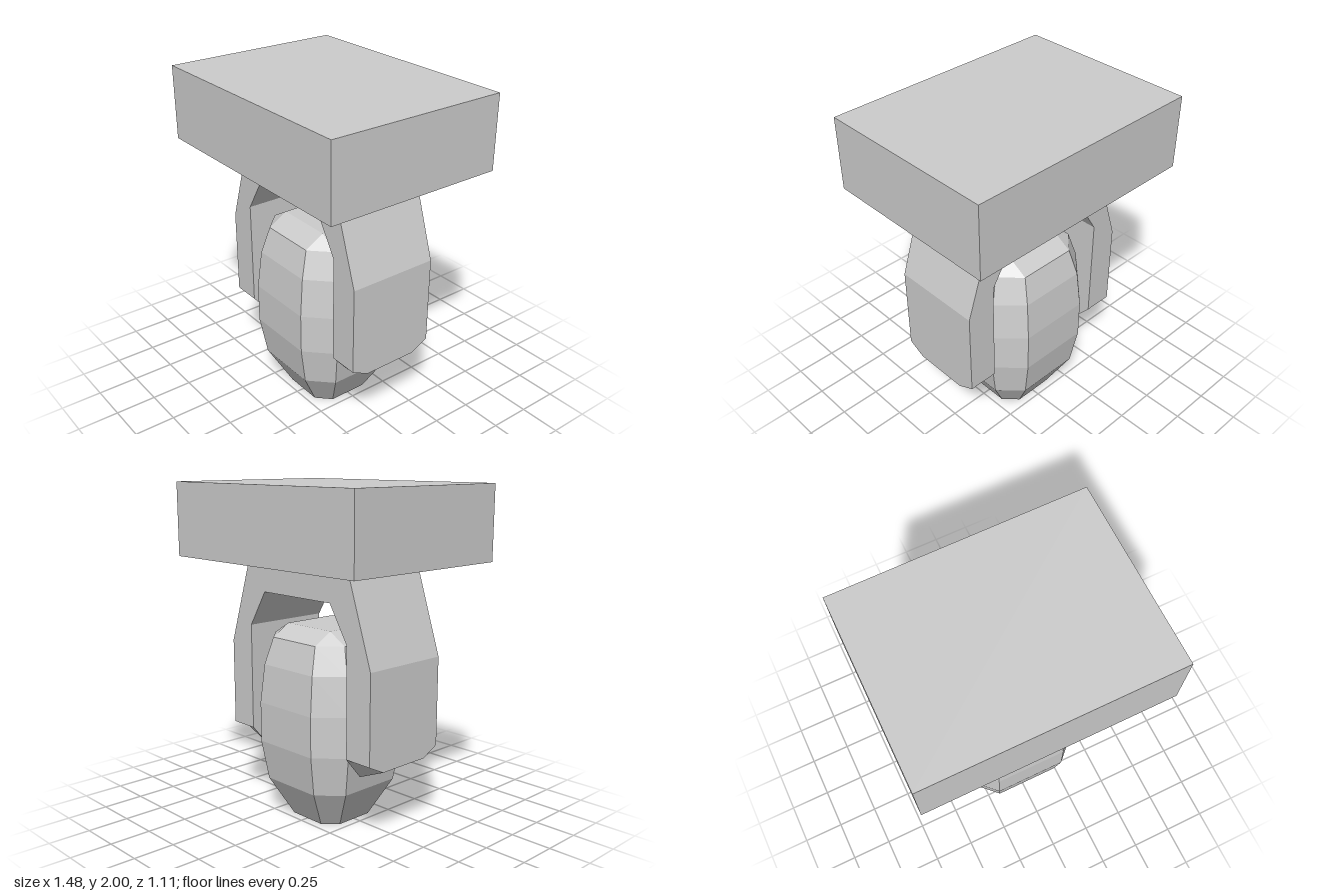
import * as THREE from 'three';

const material = new THREE.MeshStandardMaterial({ color: 0xcccccc, flatShading: true });

function addMesh(parent, name, geometry) {
  const mesh = new THREE.Mesh(geometry, material);
  mesh.name = name;
  parent.add(mesh);
  return mesh;
}

function faceted(points, index) {
  const indexed = new THREE.BufferGeometry();
  indexed.setAttribute('position', new THREE.Float32BufferAttribute(points, 3));
  indexed.setIndex(index);
  const geometry = indexed.toNonIndexed();
  geometry.computeVertexNormals();
  return geometry;
}

// Chamfered-square rings [y, half width, half flat side] lofted into a closed pod
function podGeometry(rings) {
  const points = [], index = [];
  for (const [y, w, f] of rings) {
    const ring = [[w, -f], [w, f], [f, w], [-f, w], [-w, f], [-w, -f], [-f, -w], [f, -w]];
    for (const [x, z] of ring) points.push(x, y, z);
  }
  for (let r = 0; r < rings.length - 1; r++) {
    for (let i = 0; i < 8; i++) {
      const a = r * 8 + i, b = r * 8 + (i + 1) % 8;
      index.push(a, a + 8, b + 8, a, b + 8, b);
    }
  }
  return faceted(points, index);
}

// Tapered tip below a yoke arm, on the +x side
function tipGeometry() {
  const xi = 0.41, xo = 0.59, zt = 0.28, zl = 0.17;
  const points = [
    xi, 0.5, zt, xo, 0.5, zt, xo, 0.5, -zt, xi, 0.5, -zt,
    xi, 0.37, zl, xo, 0.445, zl, xo, 0.445, -zl, xi, 0.37, -zl,
  ];
  const index = [
    0, 4, 5, 0, 5, 1, 3, 6, 7, 3, 2, 6, 5, 6, 2, 5, 2, 1,
    4, 0, 3, 4, 3, 7, 4, 7, 6, 4, 6, 5,
  ];
  return faceted(points, index);
}

export function createModel() {
  const model = new THREE.Group();
  model.name = 'hangingPod';

  // Ceiling block
  addMesh(model, 'mountBlock', new THREE.BoxGeometry(1.48, 0.44, 1.11)).position.y = 1.78;

  // Forked yoke
  const yoke = new THREE.Group();
  yoke.name = 'yoke';
  yoke.position.x = -0.003;
  model.add(yoke);
  const half = [[0.415, 1.56], [0.59, 1.03], [0.59, 0.5], [0.41, 0.5], [0.41, 1.15], [0.278, 1.365]];
  const mirrored = half.map(([x, y]) => [-x, y]).reverse();
  const outline = new THREE.Shape([...half, ...mirrored].map(([x, y]) => new THREE.Vector2(x, y)));
  const arch = new THREE.ExtrudeGeometry(outline, { depth: 0.56, bevelEnabled: false });
  arch.translate(0, 0, -0.28);
  addMesh(yoke, 'yokeArch', arch);

  // Arm tips and thin pivot pads on the inner faces
  for (const [side, turn] of [['left', 0], ['right', Math.PI]]) {
    addMesh(yoke, side + 'ArmTip', tipGeometry()).rotation.y = turn;
    const pad = new THREE.CylinderGeometry(0.165, 0.165, 0.012, 8);
    pad.rotateZ(Math.PI / 2).translate(0.411, 0.785, 0);
    addMesh(yoke, side + 'PivotPad', pad).rotation.y = turn;
  }

  // Faceted pod, closed at both ends by zero-width rings
  addMesh(model, 'pod', podGeometry([
    [0, 0, 0], [0, 0.2, 0.12], [0.24, 0.33, 0.2], [0.48, 0.37, 0.22], [0.72, 0.37, 0.22],
    [0.95, 0.345, 0.207], [1.11, 0.297, 0.18], [1.18, 0.18, 0.18], [1.18, 0, 0],
  ]));

  return model;
}
